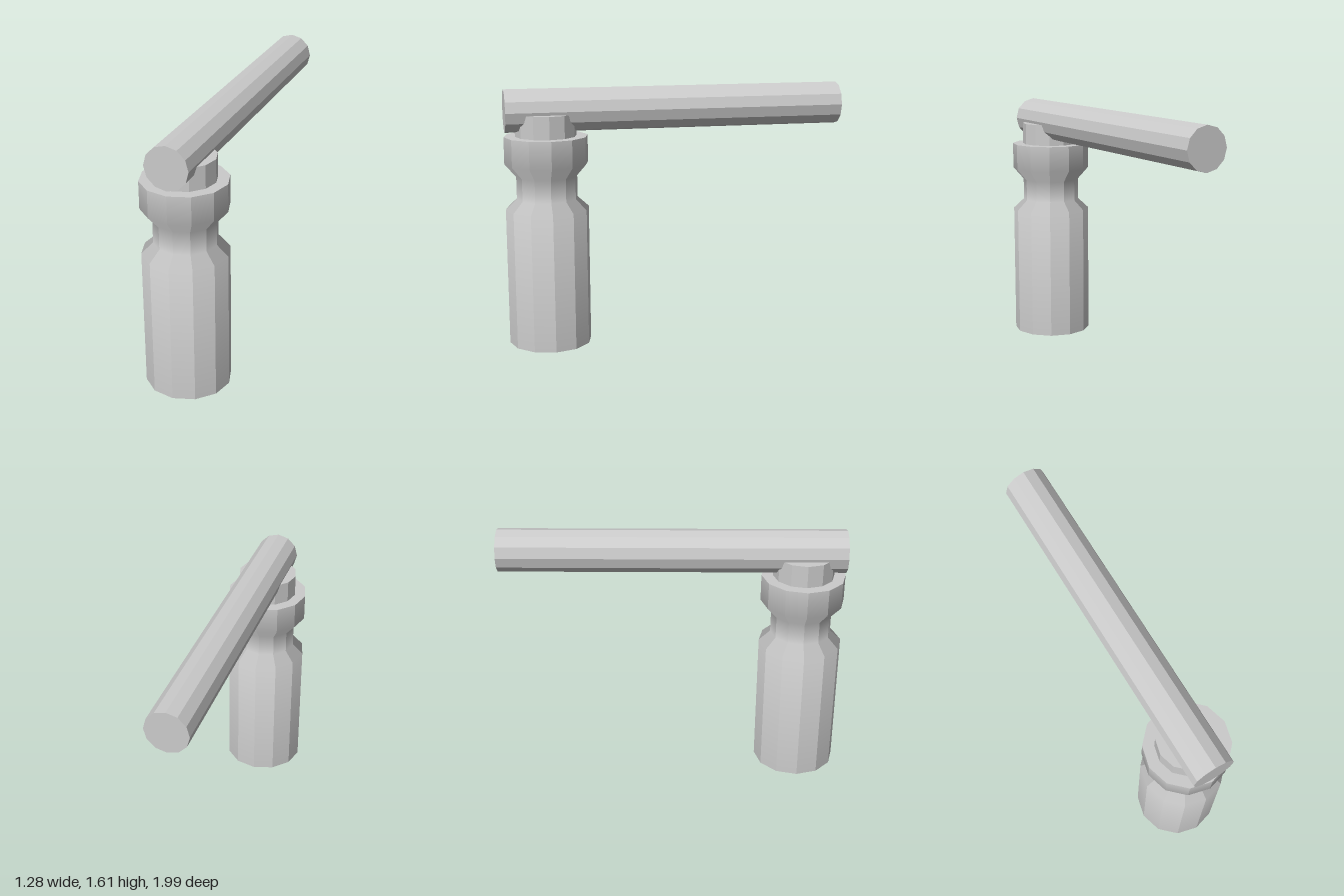
import * as THREE from 'three';

const SIDES = 12;
const LOW = 0.865, HIGH = 1.15; // where the waist starts and ends

// Facets stay crisp around the post, while the waist blends softly along its height.
function softenWaist(geo) {
  const p = geo.attributes.position, n = geo.attributes.normal;
  const v = new THREE.Vector3();
  for (let i = 0; i < p.count; i++) {
    const y = p.getY(i);
    v.fromBufferAttribute(n, i);
    if (Math.abs(v.y) > 0.9 || y < LOW - 0.01 || y > HIGH + 0.01) continue;
    v.y = 0;
    v.normalize();
    v.y = y < 1 ? 0.3 : -0.3;
    v.normalize();
    n.setXYZ(i, v.x, v.y, v.z);
  }
}

export function createModel() {
  const group = new THREE.Group();

  // Turned post: body, waist, collar and the pin on top
  const profile = [
    [0, 0], [0.26, 0], [0.26, LOW], [0.19, 0.93], [0.19, 1.07],
    [0.26, HIGH], [0.26, 1.32], [0.19, 1.32], [0.19, 1.46], [0, 1.46],
  ].map(([r, y]) => new THREE.Vector2(r, y));
  const postGeo = new THREE.LatheGeometry(profile, SIDES).toNonIndexed();
  postGeo.computeVertexNormals();
  softenWaist(postGeo);
  const post = new THREE.Mesh(postGeo, new THREE.MeshStandardMaterial({ color: 0xcccccc }));
  post.name = 'post';
  post.position.set(0.38, 0, 0.71);
  group.add(post);

  // Long handle bar lying across the pin
  const dx = 1.03, dz = 1.865;
  const barGeo = new THREE.CylinderGeometry(0.133, 0.133, Math.hypot(dx, dz), SIDES);
  barGeo.rotateX(Math.PI / 2);
  barGeo.rotateY(Math.atan2(dx, dz));
  const bar = new THREE.Mesh(barGeo, new THREE.MeshStandardMaterial({ color: 0xcccccc, flatShading: true }));
  bar.name = 'handleBar';
  bar.position.set(-0.01, 1.479, -0.003);
  group.add(bar);

  return group;
}
